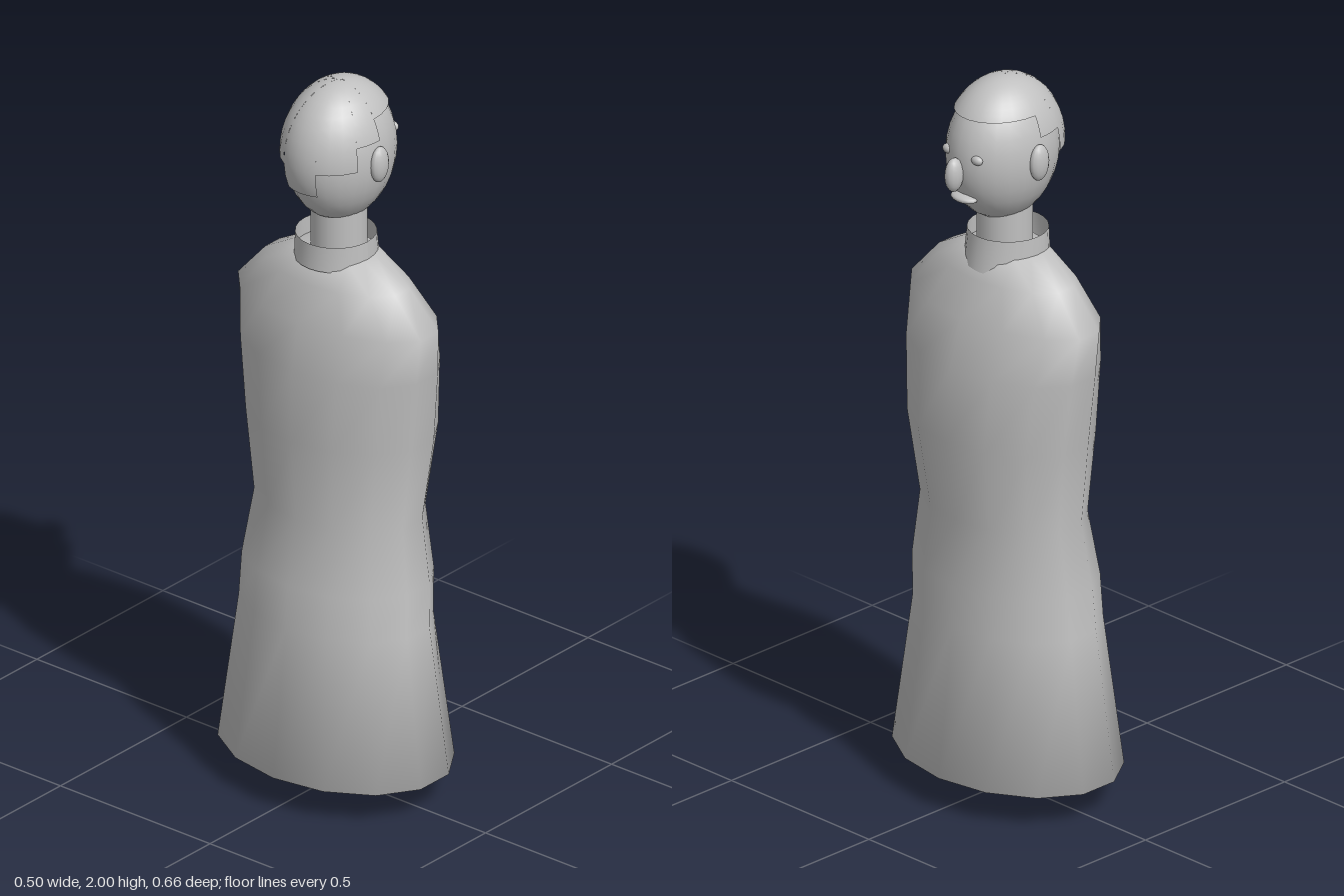
import * as THREE from 'three';

const grey = new THREE.MeshStandardMaterial({ color: 0xc0c0c0, side: THREE.DoubleSide });
grey.name = 'plain grey';

function add(parent, name, geometry, x = 0, y = 0, z = 0) {
  const mesh = new THREE.Mesh(geometry, grey);
  mesh.name = name;
  mesh.position.set(x, y, z);
  parent.add(mesh);
  return mesh;
}

function ellipsoid(rx, ry, rz, w = 14, h = 10) {
  return new THREE.SphereGeometry(1, w, h).scale(rx, ry, rz);
}

// Robe: 14-sided oval rings [y, back x, front x, half width], closed at both ends
function robeGeometry() {
  const rings = [
    [0.09, -0.25, 0.25, 0.33], [0.5, -0.2, 0.2, 0.275], [0.62, -0.193, 0.207, 0.27],
    [0.8, -0.16, 0.19, 0.243], [1.03, -0.178, 0.225, 0.27], [1.23, -0.175, 0.208, 0.291],
    [1.36, -0.152, 0.17, 0.305], [1.46, -0.12, 0.13, 0.217], [1.52, -0.09, 0.1, 0.11],
  ];
  const n = 14, pos = [], index = [];
  for (const [y, back, front, half] of rings) {
    for (let i = 0; i < n; i++) {
      const a = (i / n) * Math.PI * 2;
      pos.push((front + back) / 2 + (front - back) / 2 * Math.cos(a), y, half / 0.975 * Math.sin(a));
    }
  }
  const bottom = pos.length / 3, top = bottom + 1, last = (rings.length - 1) * n;
  pos.push(0, 0, 0, 0, 1.53, 0);
  for (let i = 0; i < n; i++) {
    const j = (i + 1) % n;
    for (let k = 0; k < last; k += n) {
      index.push(k + i, k + n + i, k + j, k + j, k + n + i, k + n + j);
    }
    index.push(bottom, i, j, top, last + j, last + i);
  }
  const g = new THREE.BufferGeometry();
  g.setAttribute('position', new THREE.Float32BufferAttribute(pos, 3));
  g.setIndex(index);
  g.computeVertexNormals();
  return g;
}

// Collar: open band whose lower edge dips into a rounded flap at the front
function collarGeometry() {
  const g = new THREE.CylinderGeometry(0.105, 0.108, 1, 24, 1, true);
  const p = g.attributes.position;
  for (let i = 0; i < p.count; i++) {
    const x = p.getX(i);
    if (p.getY(i) > 0) p.setY(i, 1.57);
    else {
      const dip = Math.max(0, x / 0.108);
      p.setY(i, 1.5 - 0.035 * Math.sqrt(dip));
      p.setX(i, x + 0.014 * dip);
    }
  }
  g.computeVertexNormals();
  return g;
}

export function createModel() {
  const model = new THREE.Group();
  model.name = 'robedFigure';
  add(model, 'robe', robeGeometry());
  add(model, 'collar', collarGeometry());
  add(model, 'neck', new THREE.CylinderGeometry(0.073, 0.073, 0.16, 20), 0.012, 1.57, 0);

  // Head, facing +x
  const head = new THREE.Group();
  head.name = 'head';
  model.add(head);
  add(head, 'skull', ellipsoid(0.162, 0.19, 0.13, 24, 16), 0.02, 1.798, 0);
  add(head, 'nose', ellipsoid(0.028, 0.047, 0.021), 0.194, 1.775, 0);
  add(head, 'mouth', ellipsoid(0.026, 0.012, 0.042), 0.158, 1.7, 0);
  for (const s of [1, -1]) {
    const side = s > 0 ? 'left' : 'right';
    add(head, side + 'Eye', ellipsoid(0.012, 0.013, 0.018), 0.163, 1.822, -s * 0.052);
    add(head, side + 'Ear', ellipsoid(0.031, 0.05, 0.019), 0.017, 1.795, -s * 0.131);
  }

  // Hair: cap segments with a stepped lower edge [start, end in degrees from the back, lower y]
  const hair = new THREE.Group();
  hair.name = 'hair';
  head.add(hair);
  const cy = 1.808, ry = 0.192;
  const steps = [
    [-22, 22, 1.73], [22, 63, 1.8], [63, 90, 1.865], [90, 270, 1.92],
    [270, 297, 1.865], [297, 338, 1.8],
  ];
  for (const [from, to, low] of steps) {
    const g = new THREE.SphereGeometry(1, Math.ceil((to - from) / 14), 10,
      THREE.MathUtils.degToRad(from), THREE.MathUtils.degToRad(to - from),
      0, Math.acos((low - cy) / ry));
    add(hair, 'hairSegment', g.scale(0.172, ry, 0.141), 0.015, cy, 0);
  }
  return model;
}
